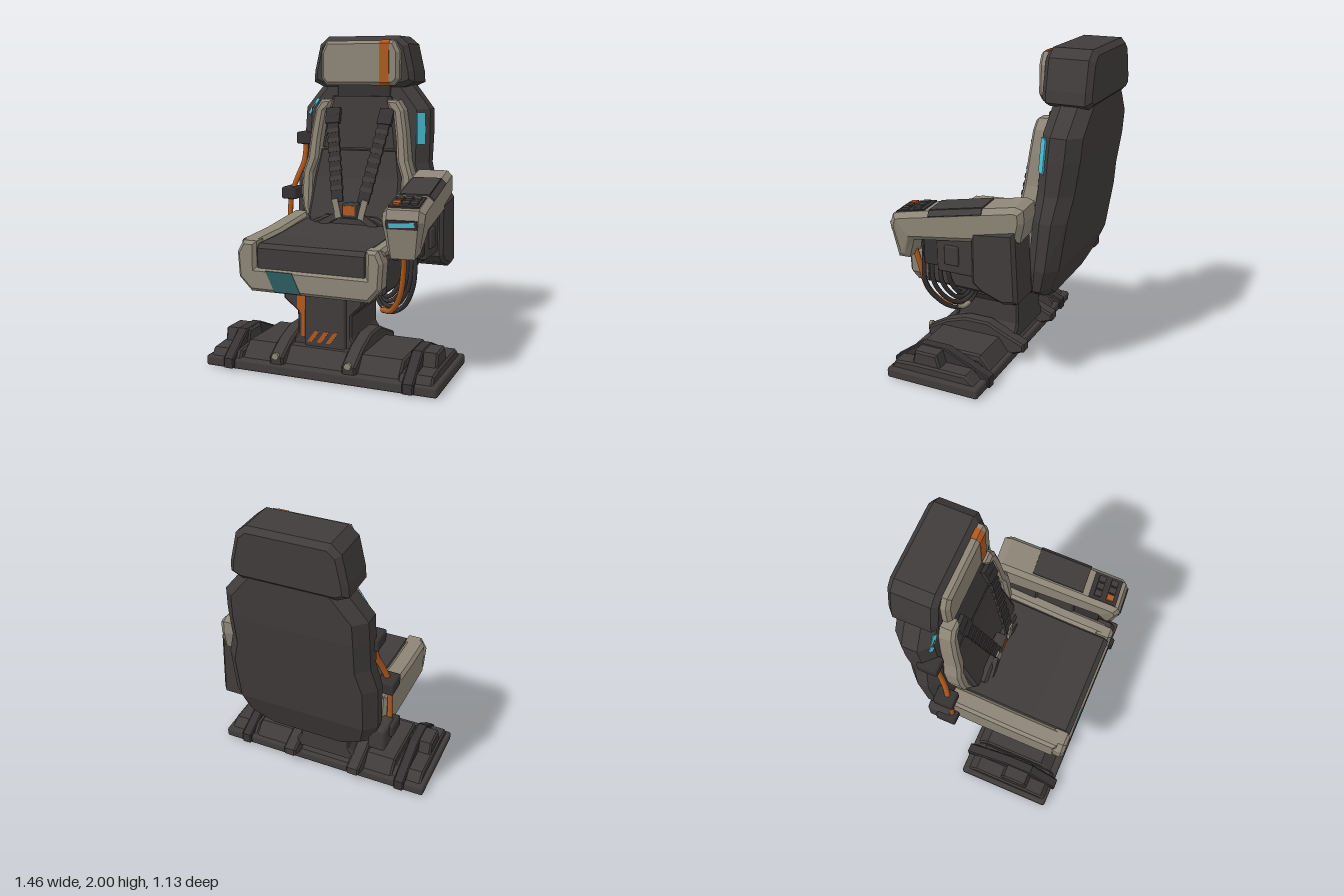
import * as THREE from 'three';
import { RoundedBoxGeometry } from 'three/addons/geometries/RoundedBoxGeometry.js';

const CX = -0.035; // centre line of the seat above the base
const material = (name, color) => {
  const m = new THREE.MeshStandardMaterial({ color });
  m.name = name;
  return m;
};

// Piecewise linear curve through [y, z] points
const along = (table) => (y) => {
  for (let i = 1; i < table.length; i++) {
    const [y0, z0] = table[i - 1], [y1, z1] = table[i];
    if (y <= y1 || i === table.length - 1) return z0 + (z1 - z0) * (y - y0) / (y1 - y0);
  }
};

export function createModel() {
  const root = new THREE.Group();
  root.name = 'cockpitSeat';
  const dark = material('charcoal', 0x413c3c);
  const black = material('soft black', 0x363233);
  const cream = material('warm grey', 0x8e8677);
  const orange = material('burnt orange', 0xb05a20);
  const cyan = material('cyan light', 0x4cc3d6);
  const teal = material('dull teal', 0x2c5c60);

  const add = (name, geo, mat, parent = root) => {
    const m = new THREE.Mesh(geo, mat);
    m.name = name;
    parent.add(m);
    return m;
  };
  // Box given by its limits on each axis
  const box = (name, mat, x0, x1, y0, y1, z0, z1, r = 0.012, parent = root) => {
    const w = x1 - x0, h = y1 - y0, d = z1 - z0;
    const geo = r ? new RoundedBoxGeometry(w, h, d, 1, r) : new THREE.BoxGeometry(w, h, d);
    const m = add(name, geo, mat, parent);
    m.position.set((x0 + x1) / 2, (y0 + y1) / 2, (z0 + z1) / 2);
    return m;
  };
  const prism = (pts, d, b) => {
    const shape = new THREE.Shape(pts.map(([x, y]) => new THREE.Vector2(x, y)));
    const geo = new THREE.ExtrudeGeometry(shape, {
      depth: d - 2 * b, bevelEnabled: b > 0, bevelSize: b, bevelThickness: b, bevelOffset: -b, bevelSegments: 1,
    });
    return geo.translate(0, 0, b);
  };
  // Front outline (x, y) pushed along z
  const front = (name, mat, pts, z0, z1, b = 0.012) => {
    const m = add(name, prism(pts, z1 - z0, b), mat);
    m.position.z = z0;
    return m;
  };
  // Side outline (z, y) pushed along x
  const side = (name, mat, pts, x0, x1, b = 0.012, parent = root) => {
    const m = add(name, prism(pts, x1 - x0, b), mat, parent);
    m.rotation.y = -Math.PI / 2;
    m.position.x = x1;
    return m;
  };
  // Stack of chamfered rectangles, rows of [half width, y]
  const loft = (name, mat, rows, backZ, frontZ, c) => {
    const rings = rows.map(([w, y]) => {
      const b = backZ(y), f = frontZ(y), d = Math.min(c, (f - b) / 3);
      return [[w - c, f], [w, f - d], [w, b + d], [w - c, b], [c - w, b], [-w, b + d], [-w, f - d], [c - w, f]]
        .map(([x, z]) => new THREE.Vector3(CX + x, y, z));
    });
    const tris = [];
    for (let i = 0; i + 1 < rings.length; i++) for (let j = 0; j < 8; j++) {
      const k = (j + 1) % 8, lo = rings[i], hi = rings[i + 1];
      tris.push(lo[j], lo[k], hi[k], lo[j], hi[k], hi[j]);
    }
    const bottom = rings[0], top = rings[rings.length - 1];
    for (let j = 1; j < 7; j++) tris.push(top[0], top[j], top[j + 1], bottom[0], bottom[j + 1], bottom[j]);
    const geo = new THREE.BufferGeometry().setFromPoints(tris);
    geo.computeVertexNormals();
    return add(name, geo, mat);
  };
  // Flat bar between two points
  const bar = (name, mat, a, c, w, t) => {
    const A = new THREE.Vector3(...a), C = new THREE.Vector3(...c);
    const y = C.clone().sub(A), len = y.length();
    y.normalize();
    const z = new THREE.Vector3(1, 0, 0).cross(y).normalize();
    const m = add(name, new THREE.BoxGeometry(w, len, t), mat);
    m.quaternion.setFromRotationMatrix(new THREE.Matrix4().makeBasis(y.clone().cross(z), y, z));
    m.position.copy(A).add(C).multiplyScalar(0.5);
    return m;
  };
  const tube = (name, mat, pts, r) =>
    add(name, new THREE.TubeGeometry(new THREE.CatmullRomCurve3(pts.map((p) => new THREE.Vector3(...p))), 28, r, 8), mat);
  const mirrored = (half) => [...half, ...half.slice().reverse().map(([x, y]) => [-x, y])].map(([x, y]) => [x + CX, y]);

  // Base plate, blocks and clamps
  box('basePlate', dark, -0.73, 0.73, 0, 0.065, -0.075, 0.545, 0.015);
  side('baseBody', dark, [[0.5, 0.06], [0.42, 0.155], [0.02, 0.155], [-0.05, 0.06]], -0.5, 0.5);
  for (const s of [-1, 1]) {
    const lim = (a, c) => (s > 0 ? [a, c] : [-c, -a]);
    side('sideRamp', dark, [[0.53, 0.06], [0.5, 0.11], [0.38, 0.12], [0.02, 0.12], [-0.04, 0.06]], ...lim(0.5, 0.7));
    side('sideBlock', dark, [[0.4, 0.06], [0.37, 0.2], [0.22, 0.2], [0.18, 0.06]], ...lim(0.52, 0.685));
    side('plateStrap', black, [[0.565, 0.01], [0.565, 0.07], [0.38, 0.205], [0.2, 0.205], [-0.09, 0.08], [-0.09, 0.01]], ...lim(0.53, 0.6), 0.008);
    const x = -0.03 + s * 0.23;
    side('footClamp', dark, [[0.53, 0.05], [0.54, 0.11], [0.4, 0.19], [0.26, 0.235], [0.1, 0.235], [0, 0.19], [-0.15, 0.13], [-0.15, 0.08], [-0.07, 0.05]], x - 0.045, x + 0.045);
    const bolt = add('clampBolt', new THREE.CylinderGeometry(0.022, 0.022, 0.02, 8), cream);
    bolt.rotation.x = Math.PI / 2;
    bolt.position.set(x, 0.115, 0.535);
  }

  // Pedestal
  front('pedestal', dark, [[-0.29, 0.52], [-0.29, 0.42], [-0.2, 0.35], [-0.2, 0.22], [-0.26, 0.12], [0.21, 0.12], [0.15, 0.22], [0.15, 0.35], [0.22, 0.42], [0.22, 0.52]], -0.07, 0.36);
  box('pedestalPanel', dark, -0.14, 0.12, 0.12, 0.52, 0.3, 0.39);
  box('pedestalCollar', dark, -0.23, 0.17, 0.455, 0.52, -0.08, 0.4);
  front('pedestalMark', orange, [[-0.2, 0.455], [-0.145, 0.455], [-0.145, 0.2], [-0.17, 0.2], [-0.17, 0.34], [-0.2, 0.37]], 0.358, 0.366, 0);
  for (let i = 0; i < 3; i++) {
    const x = -0.12 + i * 0.06;
    front('warningStripe', orange, [[x, 0.18], [x + 0.03, 0.18], [x + 0.08, 0.25], [x + 0.05, 0.25]], 0.386, 0.393, 0);
  }

  // Seat pan, front lip, rails and cushion
  side('seatPan', dark, [[0.44, 0.52], [0.44, 0.74], [-0.26, 0.76], [-0.26, 0.58], [-0.05, 0.51]], -0.46, 0.39, 0.02);
  front('seatLip', cream, [[-0.5, 0.73], [-0.46, 0.8], [-0.375, 0.8], [-0.375, 0.645], [0.31, 0.645], [0.31, 0.8], [0.38, 0.8], [0.41, 0.73], [0.4, 0.58], [0.33, 0.5], [-0.41, 0.5], [-0.49, 0.58]], 0.435, 0.555, 0.02);
  const railTop = [[0.5, 0.8], [0.2, 0.815], [-0.22, 0.86]];
  side('seatRail', cream, [[0.5, 0.56], ...railTop, [-0.24, 0.6], [0, 0.57]], -0.5, -0.375, 0.02);
  side('seatRail', cream, [[0.5, 0.74], ...railTop, [-0.24, 0.75]], 0.31, 0.4, 0.02);
  side('seatCushion', dark, [[0.54, 0.64], [0.545, 0.76], [0.515, 0.785], [0.3, 0.79], [-0.18, 0.83], [-0.22, 0.66]], -0.38, 0.315, 0.015);
  front('lipMark', teal, [[-0.31, 0.63], [-0.14, 0.63], [-0.085, 0.51], [-0.25, 0.51]], 0.551, 0.558, 0);

  // Backrest shell
  const shellBack = along([[0.5, -0.33], [0.75, -0.43], [1.4, -0.53], [1.7, -0.555]]);
  const shellFront = (y) => -0.23 - 0.08 * (y - 0.6);
  loft('backShell', dark, [[0.3, 0.52], [0.43, 0.6], [0.47, 0.75], [0.475, 1.05], [0.435, 1.2], [0.435, 1.4], [0.43, 1.54], [0.35, 1.64], [0.3, 1.7]], shellBack, shellFront, 0.07);
  box('shellFoot', black, -0.27, 0.2, 0.48, 0.6, -0.25, -0.16);

  // Back cushion, lumbar pad and side frames
  const cushionFront = along([[0.75, -0.09], [0.85, -0.1], [1.1, -0.19], [1.3, -0.23], [1.65, -0.27]]);
  loft('backCushion', dark, [[0.27, 0.74], [0.31, 0.85], [0.3, 1.1], [0.27, 1.275]], shellFront, cushionFront, 0.02);
  loft('upperCushion', dark, [[0.26, 1.29], [0.23, 1.5], [0.2, 1.62]], shellFront, cushionFront, 0.02);
  front('lumbarPad', dark, mirrored([[0.27, 0.78], [0.25, 0.83], [0.17, 0.87]]), -0.15, -0.06, 0.015);
  const frame = [[0.32, 0.8], [0.365, 0.9], [0.38, 1.0], [0.375, 1.13], [0.345, 1.22], [0.325, 1.4], [0.3, 1.54], [0.26, 1.6], [0.185, 1.6], [0.2, 1.55], [0.235, 1.52], [0.26, 1.35], [0.27, 1.22], [0.305, 1.12], [0.305, 0.9], [0.27, 0.8]];
  for (const s of [-1, 1]) {
    const geo = prism(frame.map(([x, y]) => [CX + s * x, y]), 0.12, 0.018);
    const p = geo.attributes.position;
    for (let i = 0; i < p.count; i++) p.setZ(i, p.getZ(i) - 0.29 - 0.11 * (p.getY(i) - 1.15));
    geo.computeVertexNormals();
    add('backFrame', geo, cream);
  }

  // Light strips on the shell edge
  bar('sideLight', cyan, [0.358, 1.32, -0.308], [0.351, 1.52, -0.322], 0.058, 0.009).rotateY(Math.PI / 4);
  bar('shoulderLight', cyan, [-0.42, 1.5, -0.316], [-0.35, 1.6, -0.313], 0.026, 0.009).rotateY(-0.6);

  // Headrest
  box('neck', black, -0.21, 0.15, 1.58, 1.74, -0.45, -0.29);
  front('headShell', dark, mirrored([[0.28, 1.68], [0.345, 1.71], [0.34, 1.78], [0.3, 1.95], [0.24, 2.0]]), -0.57, -0.28, 0.03);
  front('headPad', cream, mirrored([[0.23, 1.69], [0.265, 1.73], [0.265, 1.9], [0.23, 1.97]]), -0.3, -0.23, 0.02);
  side('headStripe', orange, [[-0.29, 1.973], [-0.25, 1.973], [-0.227, 1.952], [-0.227, 1.708], [-0.25, 1.687], [-0.29, 1.687], [-0.29, 1.69], [-0.25, 1.69], [-0.23, 1.71], [-0.23, 1.95], [-0.25, 1.97], [-0.29, 1.97]], 0.1, 0.165, 0);

  // Harness straps, ridges and buckles
  for (const s of [-1, 1]) {
    const top = [CX + 0.01 + s * 0.185, 1.5, -0.205], low = [CX + 0.01 + s * 0.085, 0.96, -0.055];
    const at = (t) => top.map((v, i) => v + (low[i] - v) * t);
    bar('strap', black, top, low, 0.075, 0.014);
    bar('strapAnchor', black, [top[0], 1.54, -0.235], at(0.1), 0.095, 0.03);
    for (let i = 0; i < 7; i++) bar('strapRidge', dark, at(0.16 + i * 0.11), at(0.21 + i * 0.11), 0.082, 0.022);
    bar('strapClip', cream, [low[0] + s * 0.018, 0.98, -0.048], [low[0] - s * 0.012, 0.86, -0.044], 0.04, 0.012);
    bar('lapBelt', dark, [CX + s * 0.07, 0.88, -0.06], [CX + s * 0.19, 0.81, -0.05], 0.04, 0.03);
  }
  box('buckleHousing', dark, -0.08, 0.02, 0.86, 0.955, -0.12, -0.045);
  box('buckle', orange, -0.07, 0.01, 0.88, 0.94, -0.05, -0.041, 0);

  // Armrest, turned slightly outwards
  const arm = new THREE.Group();
  arm.name = 'armrest';
  arm.rotation.y = 0.074;
  arm.position.z = 0.033;
  root.add(arm);
  const body = side('armBody', cream, [[0.515, 0.76], [0.55, 0.97], [0.53, 1.035], [0.48, 1.05], [-0.23, 1.17], [-0.28, 1.155], [-0.285, 1.08], [-0.26, 0.96], [0.4, 0.89], [0.445, 0.76]], 0.36, 0.6, 0.03, arm);
  const p = body.geometry.attributes.position;
  for (let i = 0; i < p.count; i++) if (p.getY(i) < 0.82) p.setZ(i, 0.13 + (p.getZ(i) - 0.13) * 0.75);
  body.geometry.computeVertexNormals();
  const topPlate = (name, mat, x0, x1, z0, z1, lift, h) => {
    const zc = (z0 + z1) / 2, y = 1.05 + (0.48 - zc) * 0.169 + lift;
    const m = box(name, mat, x0, x1, y - h / 2, y + h / 2, z0, z1, 0, arm);
    m.rotation.x = 0.167;
    return m;
  };
  topPlate('armPad', dark, 0.4, 0.573, -0.04, 0.295, 0.004, 0.01);
  topPlate('armPadEdge', dark, 0.567, 0.607, -0.04, 0.295, -0.013, 0.009).rotation.z = -Math.PI / 4;
  topPlate('controlPanel', black, 0.39, 0.565, 0.33, 0.51, 0.002, 0.01);
  for (let i = 0; i < 3; i++) for (let j = 0; j < 2; j++)
    topPlate('button', i === 0 && j === 1 ? orange : dark, 0.41 + i * 0.05, 0.45 + i * 0.05, 0.36 + j * 0.08, 0.405 + j * 0.08, 0.01, 0.018);
  box('frontSlot', black, 0.39, 0.565, 0.93, 0.982, 0.5435, 0.5505, 0, arm).rotation.x = 0.165;
  box('frontLight', cyan, 0.405, 0.55, 0.943, 0.969, 0.5445, 0.5535, 0, arm).rotation.set(0.165, 0, 0.07);

  // Armrest support
  side('armSupport', dark, [[0.02, 0.68], [0.02, 1.0], [-0.25, 1.03], [-0.27, 0.6], [-0.18, 0.58], [-0.04, 0.63]], 0.37, 0.6, 0.02);
  box('armSupportFront', dark, 0.38, 0.57, 0.7, 0.94, 0, 0.26, 0.02);
  box('supportCover', dark, 0.56, 0.585, 0.76, 0.88, 0.11, 0.2, 0.008);
  for (let i = 0; i < 3; i++) box('cableSocket', black, 0.42 + i * 0.05, 0.46 + i * 0.05, 0.73, 0.92, 0.24, 0.43 - i * 0.04, 0.008);

  // Hanging cables with one pale sleeve
  for (let i = 0; i < 4; i++) {
    const o = i * 0.035;
    tube('hangingCable', black, [[0.54 - o, 0.78, 0.36 - o], [0.53 - o, 0.58, 0.36 - o], [0.44 - o, 0.42 + o * 0.4, 0.28 - o * 0.5], [0.33 - o * 0.3, 0.37 + o, 0.22], [0.25 + o * 0.4, 0.43 + o, 0.18], [0.27 + o * 0.4, 0.56, 0.17]], 0.014);
  }
  tube('cableSleeve', cream, [[0.37, 0.38, 0.243], [0.33, 0.37, 0.22], [0.29, 0.383, 0.2]], 0.016);
  tube('orangeCable', orange, [[0.5, 0.8, 0.45], [0.49, 0.68, 0.42], [0.46, 0.52, 0.39], [0.39, 0.41, 0.33], [0.31, 0.385, 0.26]], 0.017);

  // Side cable and its clamps
  tube('sideCable', orange, [[-0.44, 1.36, -0.3], [-0.443, 1.2, -0.28], [-0.475, 1.08, -0.235], [-0.507, 0.97, -0.21], [-0.515, 0.82, -0.2], [-0.52, 0.66, -0.2]], 0.018);
  for (const [x, y, z] of [[-0.44, 1.34, -0.32], [-0.505, 0.98, -0.22], [-0.52, 0.67, -0.22]]) {
    box('cableClamp', black, x - 0.055, x + 0.05, y - 0.04, y + 0.04, z - 0.07, z + 0.06);
  }
  box('lowerSidePod', dark, -0.55, -0.44, 0.56, 0.72, -0.36, -0.2, 0.02);
  return root;
}
